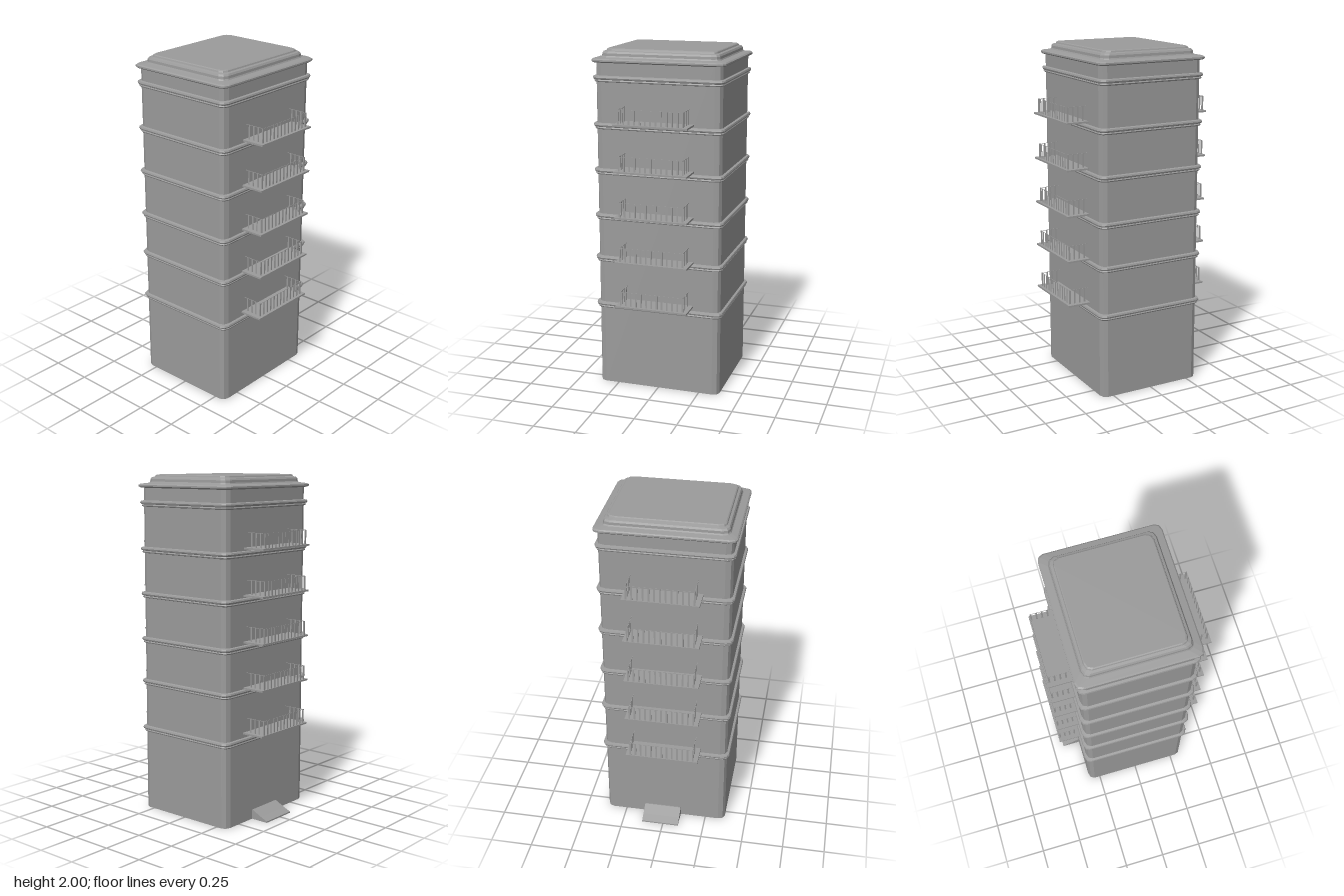
import * as THREE from 'three';

const HALF_X = 0.37, HALF_Z = 0.32, ROUND_X = 0.04, ROUND_Z = 0.034;
const material = new THREE.MeshStandardMaterial({ color: 0x9b9b9b, flatShading: true, side: THREE.DoubleSide });

// Rectangle with two-facet rounded corners, grown outward by an offset.
function ring(offset, y) {
  const ix = HALF_X + offset - ROUND_X, iz = HALF_Z + offset - ROUND_Z;
  const points = [];
  for (const [corner, sx, sz] of [[0, 1, 1], [1, -1, 1], [2, -1, -1], [3, 1, -1]]) {
    for (let i = 0; i < 3; i++) {
      const a = (corner + i / 2) * Math.PI / 2;
      points.push([sx * ix + ROUND_X * Math.cos(a), y, sz * iz + ROUND_Z * Math.sin(a)]);
    }
  }
  return points;
}

// Skin stacked rings given as [offset, y], with an optional flat top.
function shell(name, profile, capped = false) {
  const rings = profile.map(([o, y]) => ring(o, y));
  const n = rings[0].length;
  const pos = [];
  for (let i = 0; i < rings.length - 1; i++) {
    for (let j = 0; j < n; j++) {
      const k = (j + 1) % n;
      const a = rings[i][j], b = rings[i][k], c = rings[i + 1][j], d = rings[i + 1][k];
      pos.push(...a, ...c, ...b, ...b, ...c, ...d);
    }
  }
  if (capped) {
    const top = rings[rings.length - 1];
    for (let j = 0; j < n; j++) pos.push(0, top[0][1], 0, ...top[(j + 1) % n], ...top[j]);
  }
  const geo = new THREE.BufferGeometry();
  geo.setAttribute('position', new THREE.Float32BufferAttribute(pos, 3));
  geo.computeVertexNormals();
  const mesh = new THREE.Mesh(geo, material);
  mesh.name = name;
  return mesh;
}

function box(name, w, h, d, x, y, z) {
  const mesh = new THREE.Mesh(new THREE.BoxGeometry(w, h, d), material);
  mesh.position.set(x, y, z);
  mesh.name = name;
  return mesh;
}

// Slab with a light railing on three sides; its origin is the underside of the slab.
function balcony(railZ) {
  const g = new THREE.Group();
  const slab = 0.01, railTop = 0.092, sideX = 0.187, thin = 0.002;
  const postH = railTop - slab, postY = slab + postH / 2;
  g.add(box('balconySlab', 0.43, slab, 0.142, 0, slab / 2, 0.387));
  for (let i = 0; i < 13; i++) {
    const x = -sideX + (2 * sideX * i) / 12;
    g.add(box('frontPost', 0.01, postH, thin, x, postY, railZ));
  }
  g.add(box('frontRail', 2 * sideX, thin, thin, 0, railTop, railZ));
  for (const s of [-1, 1]) {
    for (let i = 0; i < 4; i++) {
      g.add(box('sidePost', thin, postH, 0.009, s * sideX, postY, railZ - 0.004 - 0.031 * i));
    }
    g.add(box('sideRail', thin, thin, railZ - HALF_Z, s * sideX, railTop, (railZ + HALF_Z) / 2));
  }
  return g;
}

export function createModel() {
  const model = new THREE.Group();
  model.name = 'towerBlock';

  // Walls, open underneath
  model.add(shell('walls', [[0, 0], [0, 1.936]]));

  // Double moulding at every floor
  for (const y of [0.474, 0.76, 1.015, 1.284, 1.548, 1.816]) {
    model.add(shell('floorBand', [
      [0, y], [0.007, y + 0.002], [0.01, y + 0.008], [0.007, y + 0.014],
      [0.013, y + 0.017], [0.016, y + 0.025], [0.013, y + 0.034], [0, y + 0.037],
    ]));
  }

  // Cornice and stepped roof
  model.add(shell('roof', [
    [0, 1.924], [0.014, 1.926], [0.021, 1.932], [0.021, 1.941], [0.014, 1.947],
    [-0.022, 1.953], [-0.026, 1.96], [-0.027, 1.974], [-0.033, 1.984],
    [-0.046, 1.988], [-0.049, 1.996], [-0.055, 2.0],
  ], true));

  // Balconies on front and back
  for (let i = 0; i < 5; i++) {
    for (const [name, turn, railZ] of [['frontBalcony', 0, 0.44], ['backBalcony', Math.PI, 0.451]]) {
      const b = balcony(railZ);
      b.name = name;
      b.position.y = 0.532 + i * 0.2655;
      b.rotation.y = turn;
      model.add(b);
    }
  }

  // Entrance ramp at the back
  const profile = new THREE.Shape();
  profile.moveTo(0.31, 0);
  profile.lineTo(0.43, 0);
  profile.lineTo(0.43, 0.008);
  profile.lineTo(0.385, 0.027);
  profile.lineTo(0.325, 0.056);
  profile.lineTo(0.31, 0.056);
  const ramp = new THREE.Mesh(
    new THREE.ExtrudeGeometry(profile, { depth: 0.225, bevelEnabled: false }), material);
  ramp.name = 'entranceRamp';
  ramp.rotation.y = Math.PI / 2;
  ramp.position.x = -0.095;
  model.add(ramp);

  return model;
}
